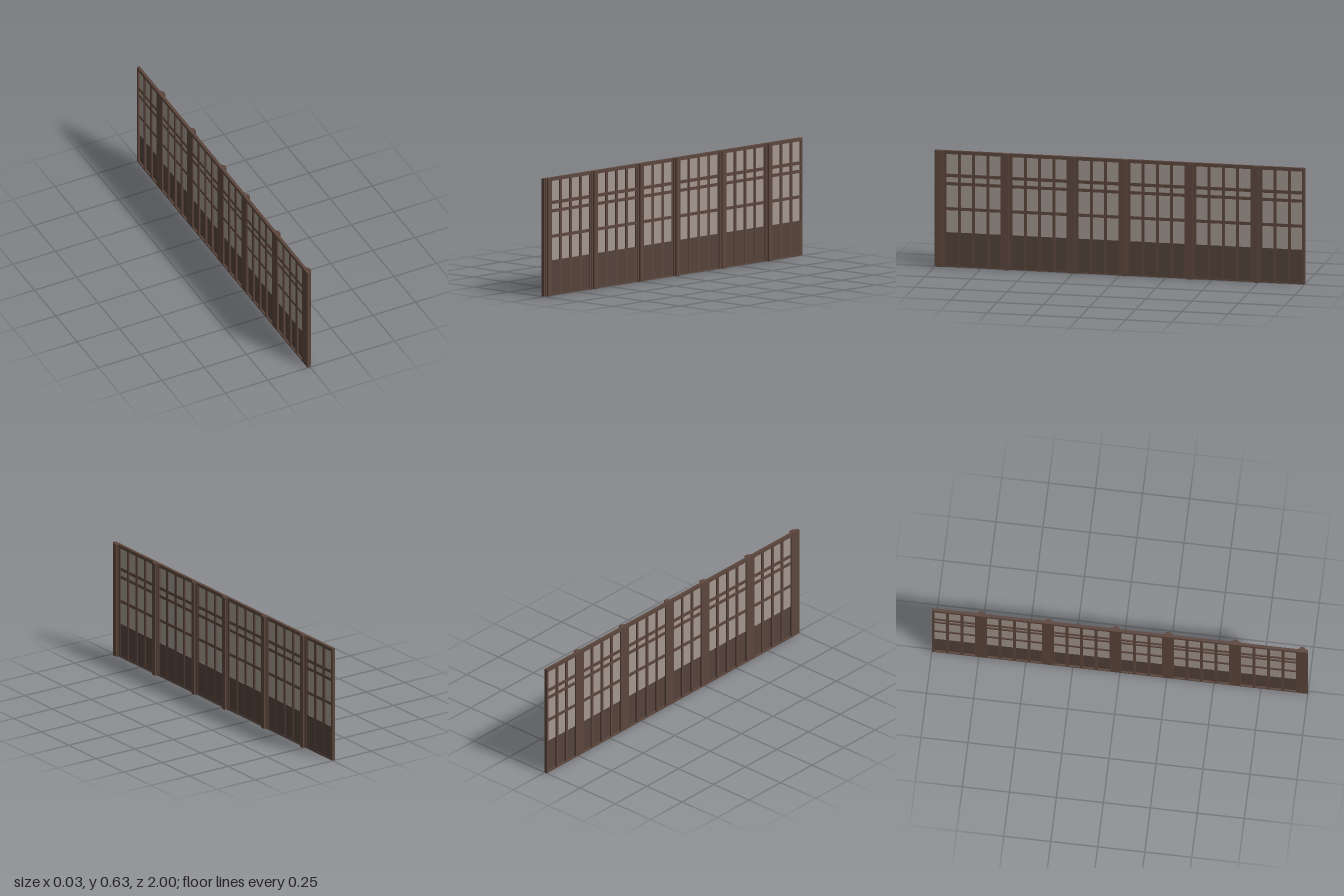
import * as THREE from 'three';

export function createModel() {
  const group = new THREE.Group();
  group.name = 'panelledScreenWall';
  const wood = new THREE.MeshStandardMaterial({ color: 0x5c463c });
  const board = new THREE.MeshStandardMaterial({ color: 0x54423a });
  const glass = new THREE.MeshStandardMaterial({ color: 0xa3978f });

  // Box given by its extents on each axis
  const box = (name, x0, x1, y0, y1, z0, z1, material = wood) => {
    const mesh = new THREE.Mesh(new THREE.BoxGeometry(x1 - x0, y1 - y0, z1 - z0), material);
    mesh.position.set((x0 + x1) / 2, (y0 + y1) / 2, (z0 + z1) / 2);
    mesh.name = name;
    group.add(mesh);
  };

  const H = 0.63, BACK = -0.015, FRONT = 0.001;
  const RAIL = 0.018, SILL = 0.187;
  const POST = 0.063, PANE = 0.0622, BAR = 0.015;

  // Rails along the whole wall
  box('topRail', BACK, FRONT, H - RAIL, H, -1, 1);
  box('bottomRail', BACK, FRONT, 0, 0.008, -1, 1);

  // Bays run from the +z end; each starts with a post
  let z = 1;
  for (const panes of [4, 4, 3, 4, 4, 3]) {
    const mid = z - POST / 2;
    box('postBoard', BACK, FRONT, 0.008, H - RAIL, z - POST, z);
    box('pilasterBase', FRONT, 0.005, 0, H, mid - 0.024, mid + 0.024);
    box('pilaster', 0.005, 0.015, 0, H, mid - 0.013, mid + 0.013);
    z -= POST;

    const end = z - panes * PANE - (panes - 1) * BAR;
    box('lowerPanel', -0.005, -0.001, 0.008, SILL, end, z, board);
    box('windowPane', -0.008, -0.006, SILL, H - RAIL, end, z, glass);

    // Horizontal glazing bars
    for (const [y0, y1] of [[0.307, 0.323], [0.443, 0.459], [0.487, 0.504]])
      box('glazingBar', -0.013, -0.001, y0, y1, end, z);

    // Upright mullions between panes
    for (let i = 1; i < panes; i++) {
      const top = z - i * PANE - (i - 1) * BAR;
      box('mullion', BACK, 0, 0.008, H - RAIL, top - BAR, top);
    }
    z = end;
  }

  // Closing stile at the -z end
  box('endStile', BACK, FRONT, 0.008, H - RAIL, -1, z);
  return group;
}
